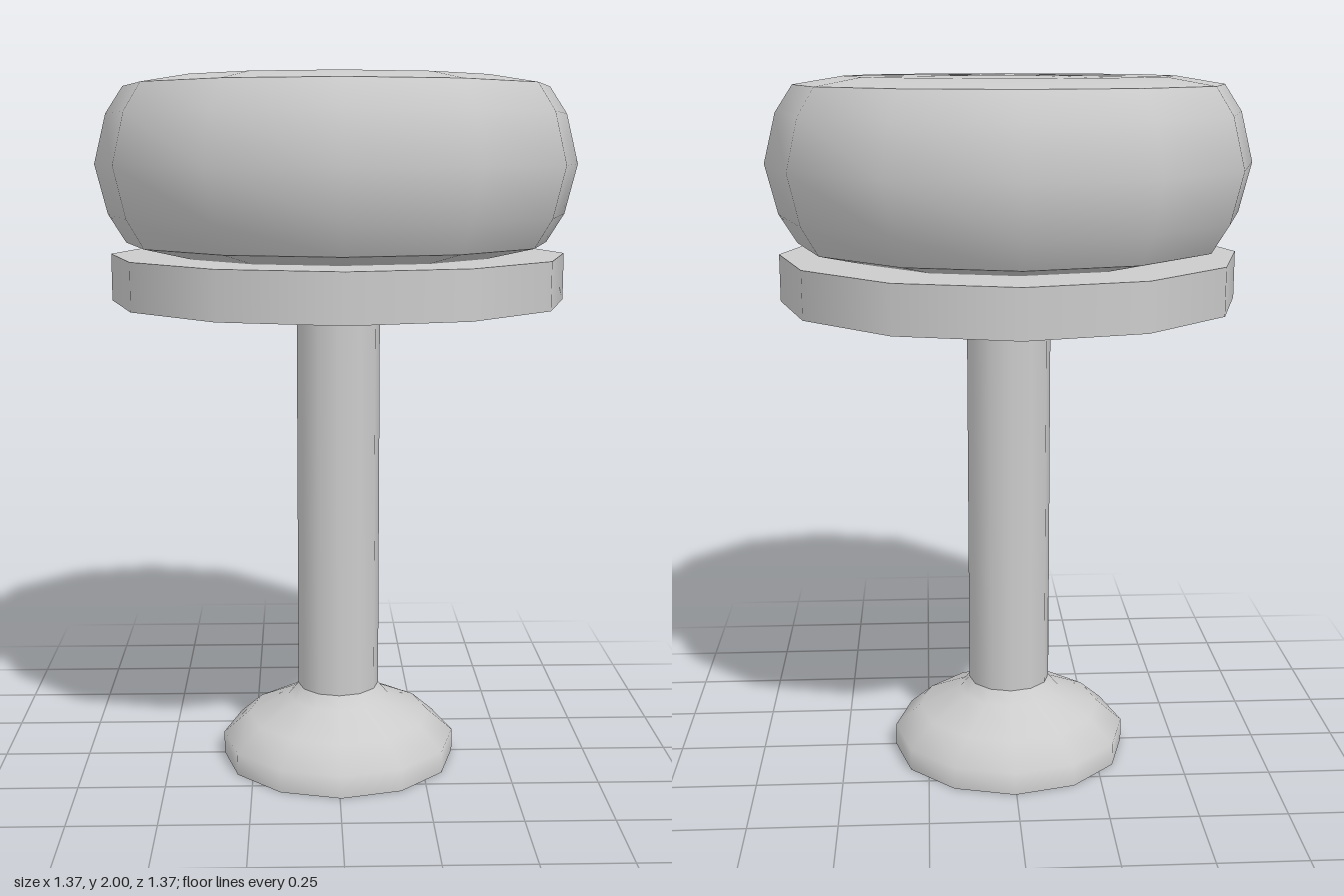
import * as THREE from 'three';

const SIDES = 12;

// Each profile runs bottom to top; separate profiles keep a sharp edge between them.
function turned(name, profiles, material) {
  const group = new THREE.Group();
  group.name = name;
  profiles.forEach((profile, i) => {
    const points = profile.map(([r, y]) => new THREE.Vector2(r, y));
    const mesh = new THREE.Mesh(new THREE.LatheGeometry(points, SIDES), material);
    mesh.name = `${name}Surface${i + 1}`;
    group.add(mesh);
  });
  return group;
}

export function createModel() {
  const solid = new THREE.MeshStandardMaterial({ color: 0xcccccc });
  const thin = new THREE.MeshStandardMaterial({ color: 0xcccccc, side: THREE.DoubleSide });
  const model = new THREE.Group();
  model.name = 'stool';

  // Padded seat: underside, bulging side, nearly flat top
  const cushion = turned('cushion', [
    [[0, 1.505], [0.46, 1.508], [0.6, 1.54]],
    [[0.6, 1.54], [0.65, 1.62], [0.685, 1.76], [0.65, 1.9], [0.6, 1.975]],
    [[0.6, 1.975], [0.46, 1.998], [0, 2]],
  ], solid);

  // Flat disc under the cushion: bottom, rim, top
  const seatPlate = turned('seatPlate', [
    [[0, 1.375], [0.648, 1.375]],
    [[0.648, 1.375], [0.648, 1.508]],
    [[0.648, 1.508], [0, 1.508]],
  ], solid);

  // Post flaring into a hollow foot, open underneath
  const pedestal = turned('pedestal', [
    [[0.345, 0], [0.345, 0.065], [0.27, 0.13], [0.15, 0.185], [0.12, 0.22]],
    [[0.12, 0.22], [0.12, 1.375]],
  ], thin);

  // The stand sits very slightly off the cushion's axis
  for (const part of [seatPlate, pedestal]) part.position.set(0.004, 0, -0.003);

  model.add(cushion, seatPlate, pedestal);
  return model;
}
